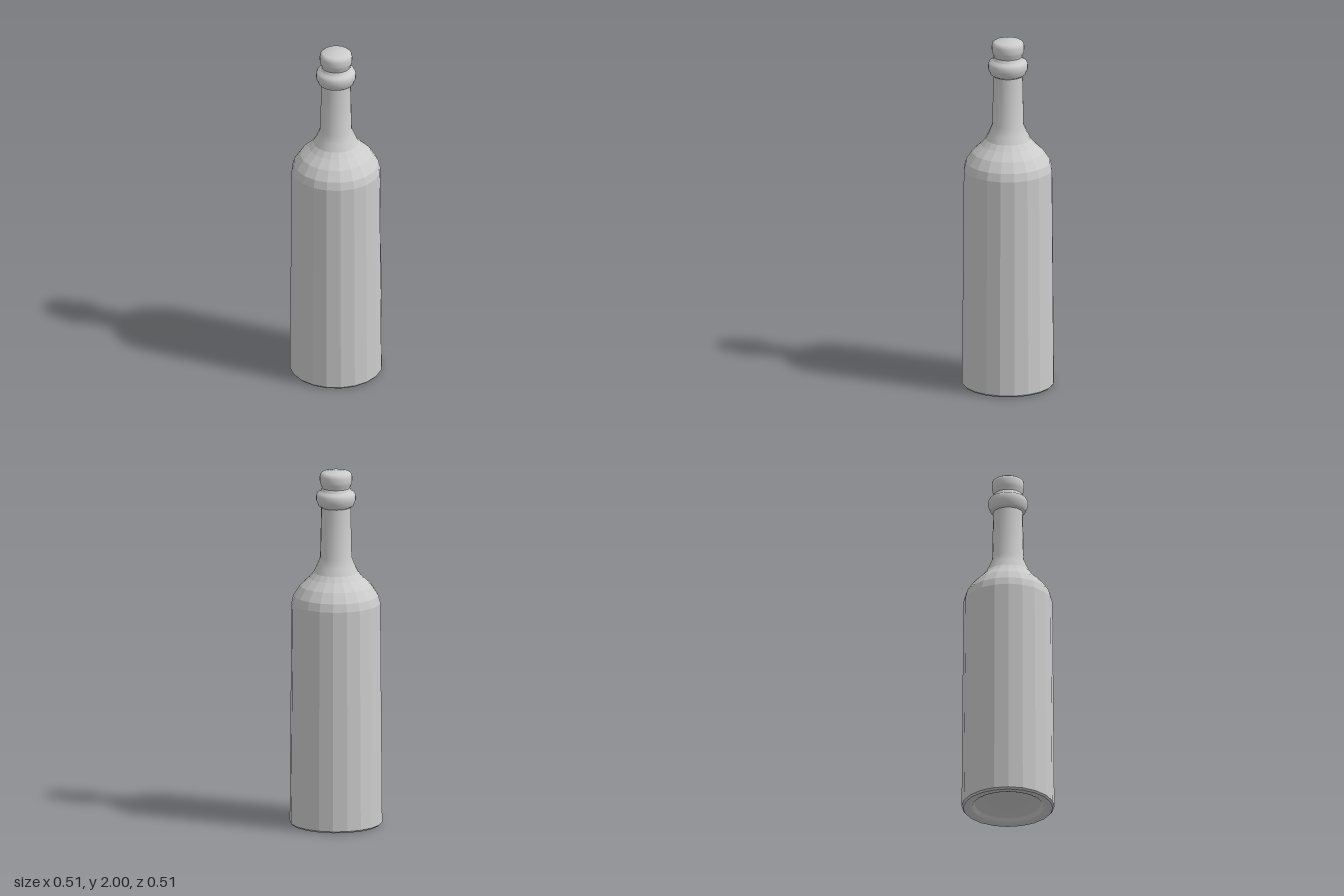
import * as THREE from 'three';
import { toCreasedNormals } from 'three/addons/utils/BufferGeometryUtils.js';

// Turned part from [radius, height] pairs, listed from bottom to top
function turned(name, profile, sides, crease) {
  const points = profile.map(([r, y]) => new THREE.Vector2(r, y));
  const lathe = new THREE.LatheGeometry(points, sides);
  const geometry = crease ? toCreasedNormals(lathe, crease) : lathe;
  const material = new THREE.MeshStandardMaterial({
    color: 0xcccccc, flatShading: !crease, side: THREE.DoubleSide,
  });
  const mesh = new THREE.Mesh(geometry, material);
  mesh.name = name;
  return mesh;
}

export function createModel() {
  const bottle = new THREE.Group();
  bottle.name = 'bottle';

  // Recessed base with its standing rim
  bottle.add(turned('base', [
    [0, 0.05], [0.13, 0.045], [0.185, 0.025], [0.2, 0.006], [0.215, 0], [0.248, 0], [0.257, 0.01],
  ], 20));

  // Faceted, slightly tapered body and rounded shoulder
  bottle.add(turned('body', [
    [0.257, 0.01], [0.247, 1.255], [0.235, 1.3], [0.198, 1.355], [0.15, 1.4], [0.125, 1.43],
  ], 20));

  // Slim neck with a flared foot
  bottle.add(turned('neck', [
    [0.125, 1.43], [0.106, 1.47], [0.088, 1.515], [0.082, 1.805],
  ], 20, 0.5));

  // Collar ring around the mouth
  bottle.add(turned('collar', [
    [0.082, 1.8], [0.098, 1.81], [0.103, 1.825], [0.11, 1.84], [0.11, 1.868],
    [0.103, 1.882], [0.085, 1.892], [0.078, 1.91],
  ], 32, 0.7));

  // Rounded stopper
  bottle.add(turned('stopper', [
    [0.078, 1.91], [0.081, 1.922], [0.088, 1.935], [0.09, 1.95], [0.09, 1.975],
    [0.086, 1.99], [0.074, 1.999], [0, 2],
  ], 32, 0.7));

  return bottle;
}
